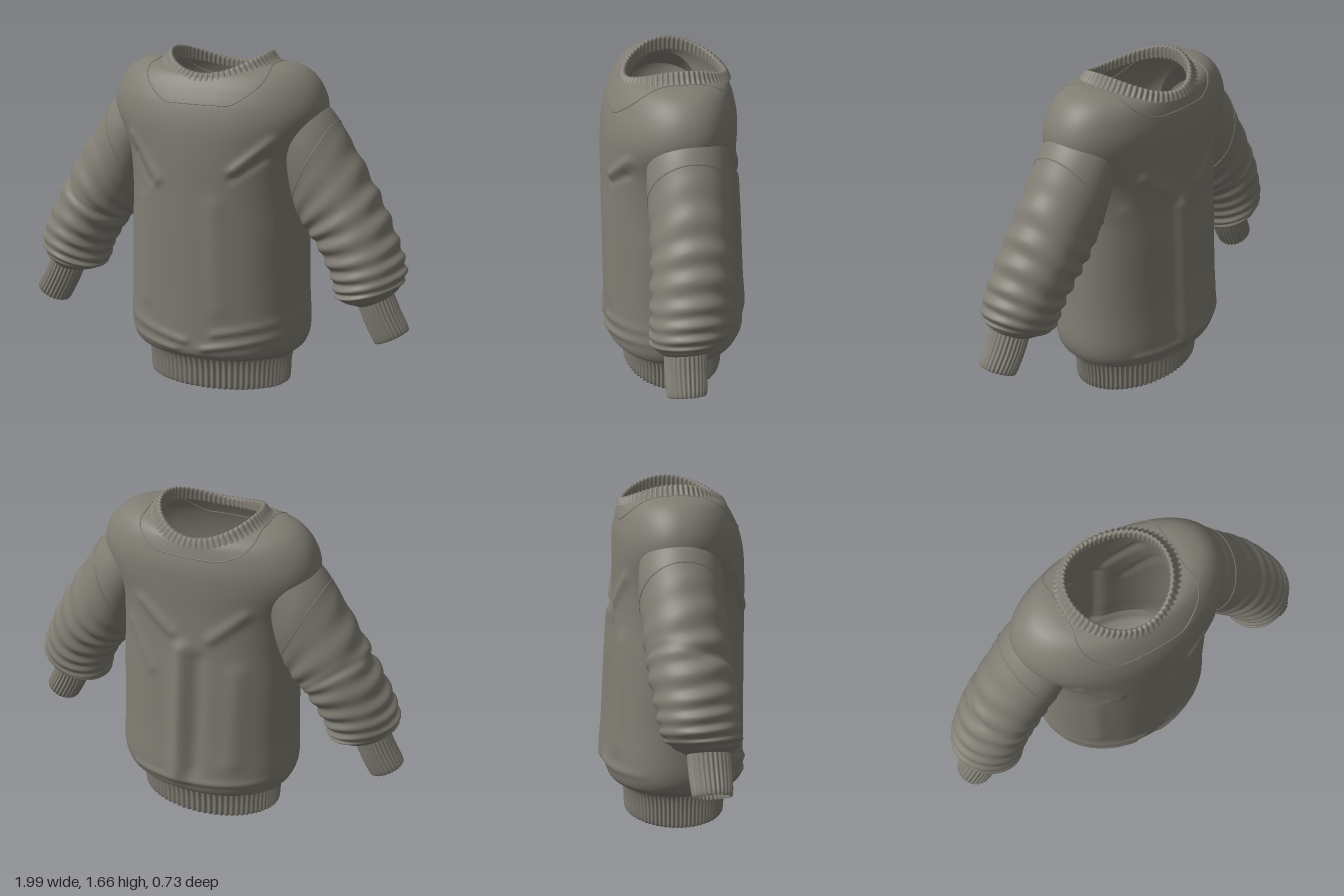
import * as THREE from 'three';

const TAU = Math.PI * 2;

// Smooth interpolation through rows of numbers, t counted in rows
function sample(rows, t) {
  const last = rows.length - 1;
  const i = Math.min(Math.max(Math.floor(t), 0), last - 1), f = t - i;
  const [a, b, c, d] = [rows[Math.max(i - 1, 0)], rows[i], rows[i + 1], rows[Math.min(i + 2, last)]];
  return b.map((_, k) => b[k] + 0.5 * f * (c[k] - a[k]
    + f * (2 * a[k] - 5 * b[k] + 4 * c[k] - d[k] + f * (3 * (b[k] - c[k]) + d[k] - a[k]))));
}

// Closed-ring surface from point(angle, v), v running from 0 to vMax
function loft(point, vMax, around, along) {
  const pos = [], idx = [];
  for (let j = 0; j <= along; j++) {
    for (let i = 0; i < around; i++) {
      pos.push(...point((i / around) * TAU, (j / along) * vMax).toArray());
      if (j === along) continue;
      const p = j * around + i, q = j * around + ((i + 1) % around);
      idx.push(p, p + around, q, q, p + around, q + around);
    }
  }
  const g = new THREE.BufferGeometry();
  g.setAttribute('position', new THREE.Float32BufferAttribute(pos, 3));
  g.setIndex(idx);
  g.computeVertexNormals();
  return g;
}

// Body rings: half width, side y, front z, front y, back z, back y
const BODY = [
  [0.375, 0.16, 0.27, 0.16, 0.245, 0.16],
  [0.40, 0.175, 0.32, 0.175, 0.29, 0.175],
  [0.44, 0.21, 0.355, 0.21, 0.325, 0.21],
  [0.462, 0.30, 0.358, 0.30, 0.335, 0.30],
  [0.455, 0.50, 0.358, 0.50, 0.32, 0.50],
  [0.45, 0.80, 0.358, 0.80, 0.305, 0.80],
  [0.445, 1.00, 0.358, 1.00, 0.293, 1.00],
  [0.465, 1.18, 0.357, 1.18, 0.288, 1.18],
  [0.53, 1.33, 0.347, 1.32, 0.288, 1.33],
  [0.54, 1.42, 0.325, 1.42, 0.283, 1.42],
  [0.505, 1.51, 0.295, 1.49, 0.27, 1.48],
  [0.44, 1.575, 0.272, 1.53, 0.26, 1.515],
  [0.36, 1.603, 0.258, 1.55, 0.252, 1.54],
  [0.27, 1.607, 0.248, 1.56, 0.245, 1.55],
];

// Cloth folds: x1, y1, x2, y2, width, height
const FRONT_FOLDS = [
  [0.36, 1.27, 0.20, 1.13, 0.028, 0.022], [0.32, 1.19, 0.19, 1.10, 0.022, -0.014],
  [-0.36, 1.25, -0.20, 1.06, 0.028, 0.018], [-0.33, 1.17, -0.24, 1.05, 0.022, -0.012],
  [-0.30, 0.95, -0.28, 0.45, 0.04, 0.01], [0.10, 0.95, 0.12, 0.45, 0.05, 0.008],
  [-0.40, 0.33, -0.05, 0.27, 0.018, 0.012], [0.05, 0.24, 0.42, 0.31, 0.018, 0.012],
  [0.10, 0.32, 0.42, 0.38, 0.018, 0.010], [-0.40, 0.25, -0.10, 0.22, 0.015, 0.008],
];
const BACK_FOLDS = [
  [0.03, 1.0, 0.04, 0.30, 0.045, 0.03], [-0.06, 0.95, -0.05, 0.35, 0.04, -0.012],
  [0.25, 1.20, 0.08, 1.08, 0.03, 0.016], [-0.28, 1.22, -0.12, 1.08, 0.03, 0.014],
  [-0.25, 0.9, -0.24, 0.4, 0.05, 0.012], [0.33, 1.05, 0.2, 0.85, 0.03, 0.01],
  [-0.40, 0.28, 0.30, 0.25, 0.02, 0.01],
];
function foldHeight(folds, x, y) {
  let h = 0;
  for (const [x1, y1, x2, y2, width, height] of folds) {
    const dx = x2 - x1, dy = y2 - y1;
    const t = THREE.MathUtils.clamp(((x - x1) * dx + (y - y1) * dy) / (dx * dx + dy * dy), 0, 1);
    const d = Math.hypot(x - x1 - t * dx, y - y1 - t * dy) / width;
    h += height * Math.exp(-d * d);
  }
  return h;
}

const squash = (c, n) => Math.sign(c) * Math.abs(c) ** n;

function bodyPoint(a, v) {
  const [w, ys, zf, yf, zb, yb] = sample(BODY, v);
  const c = Math.cos(a), s = Math.sin(a), front = s >= 0;
  const x = w * squash(c, 0.93);
  const y = ys * c * c + (front ? yf : yb) * s * s;
  const h = foldHeight(front ? FRONT_FOLDS : BACK_FOLDS, x, y) * Math.min(1, Math.abs(s) * 2);
  const z = (front ? zf + h : zb + h) * squash(s, 0.93);
  return new THREE.Vector3(x, y, z);
}

// Sleeve rings: upper edge x y, lower edge x y, centre z, half depth
const SLEEVE = [
  [0.42, 1.51, 0.35, 1.08, 0, 0.19],
  [0.555, 1.39, 0.38, 0.97, 0, 0.20],
  [0.655, 1.25, 0.42, 0.87, 0.005, 0.195],
  [0.76, 1.08, 0.47, 0.80, 0.01, 0.195],
  [0.84, 0.94, 0.52, 0.745, 0.02, 0.195],
  [0.905, 0.81, 0.57, 0.665, 0.035, 0.19],
  [0.945, 0.715, 0.605, 0.595, 0.045, 0.187],
  [0.963, 0.64, 0.62, 0.535, 0.055, 0.18],
  [0.945, 0.585, 0.645, 0.50, 0.07, 0.16],
  [0.912, 0.545, 0.75, 0.475, 0.08, 0.10],
];
// Cuff rings run down the outside, then back up inside
const CUFF = [
  [0.908, 0.55, 0.75, 0.48, 0.08, 0.096],
  [0.945, 0.47, 0.785, 0.40, 0.083, 0.096],
  [0.988, 0.392, 0.83, 0.315, 0.086, 0.09],
  [0.982, 0.384, 0.838, 0.314, 0.086, 0.08],
  [0.905, 0.53, 0.77, 0.47, 0.08, 0.08],
];
function ringPoint(row, a, side, scale) {
  const [ox, oy, ix, iy, zc, hz] = row;
  const c = Math.cos(a) * 0.5 * scale;
  return new THREE.Vector3(side * ((ox + ix) / 2 + (ox - ix) * c), (oy + iy) / 2 + (oy - iy) * c,
    zc - side * hz * scale * Math.sin(a));
}
function sleevePoint(a, v, side) {
  const front = -side * Math.sin(a);
  const fade = THREE.MathUtils.smoothstep(v, 1, 3.5) * (1 - THREE.MathUtils.smoothstep(v, 7.6, 9));
  const wave = Math.sin(v * 7.5 + 0.9 * Math.sin(a * 2 + side) + (side > 0 ? 0 : 1.2) + front * 0.8);
  const crease = side < 0 ? 0.05 * Math.exp(-(((v - 3.6 - 0.3 * front) / 0.14) ** 2)) : 0;
  return ringPoint(sample(SLEEVE, v), a, side, 1 + fade * 0.045 * wave * (0.7 + 0.3 * Math.cos(a * 3)) - crease * fade);
}

// Bottom band rings: half width, half depth, y, from the inside over the lower edge
const HEM = [
  [0.355, 0.235, 0.17], [0.343, 0.23, 0.012], [0.352, 0.238, 0], [0.364, 0.246, 0.01],
  [0.368, 0.249, 0.09], [0.375, 0.257, 0.14], [0.388, 0.272, 0.168],
];
function hemPoint(a, v) {
  const [w, d, y] = sample(HEM, v);
  const rib = 0.005 * Math.cos(a * 76);
  return new THREE.Vector3((w + rib) * Math.cos(a), y, 0.013 + (d + rib) * Math.sin(a));
}

// Neckband rings: half width, half depth, side y, front and back y
const NECK = [
  [0.305, 0.268, 1.60, 1.535], [0.278, 0.258, 1.618, 1.556], [0.256, 0.25, 1.648, 1.568],
  [0.246, 0.24, 1.655, 1.572], [0.237, 0.229, 1.645, 1.566], [0.238, 0.226, 1.59, 1.53],
];
function neckPoint(a, v) {
  const [w, d, ys, yf] = sample(NECK, v);
  const c = Math.cos(a), s = Math.sin(a), rib = 0.003 * Math.cos(a * 64);
  return new THREE.Vector3((w + rib) * c, ys * c * c + yf * s * s + rib, (d + rib) * s);
}

// Thin stitched line following a closed path
function seam(pointAt) {
  const pts = Array.from({ length: 96 }, (_, i) => pointAt((i / 96) * TAU));
  return new THREE.TubeGeometry(new THREE.CatmullRomCurve3(pts, true), 192, 0.0035, 5, true);
}

export function createModel() {
  const model = new THREE.Group();
  model.name = 'sweater';
  const knit = new THREE.MeshStandardMaterial({ color: 0x807d73, side: THREE.DoubleSide });
  knit.name = 'greyKnit';
  const add = (name, geometry) => {
    const mesh = new THREE.Mesh(geometry, knit);
    mesh.name = name;
    model.add(mesh);
  };

  add('body', loft(bodyPoint, BODY.length - 1, 160, 150));
  add('hemBand', loft(hemPoint, HEM.length - 1, 456, 18));
  add('neckBand', loft(neckPoint, NECK.length - 1, 320, 15));

  // Collar seam dips into a blunt point at front and back
  add('collarSeam', seam((a) => {
    const s = Math.sin(a), dip = s > 0 ? 3.45 : 2.6;
    return bodyPoint(a, 12.65 - dip * Math.min(1, Math.abs(s) * 1.04) ** 3);
  }));

  for (const [side, label] of [[1, 'left'], [-1, 'right']]) {
    add(label + 'Sleeve', loft((a, v) => sleevePoint(a, v, side), SLEEVE.length - 1, 80, 110));
    add(label + 'Cuff', loft((a, v) =>
      ringPoint(sample(CUFF, v), a, side, 1 + 0.035 * Math.cos(a * 28)), CUFF.length - 1, 168, 16));
    add(label + 'SleeveSeam', seam((a) => sleevePoint(a, 1.35, side)));
  }
  return model;
}
